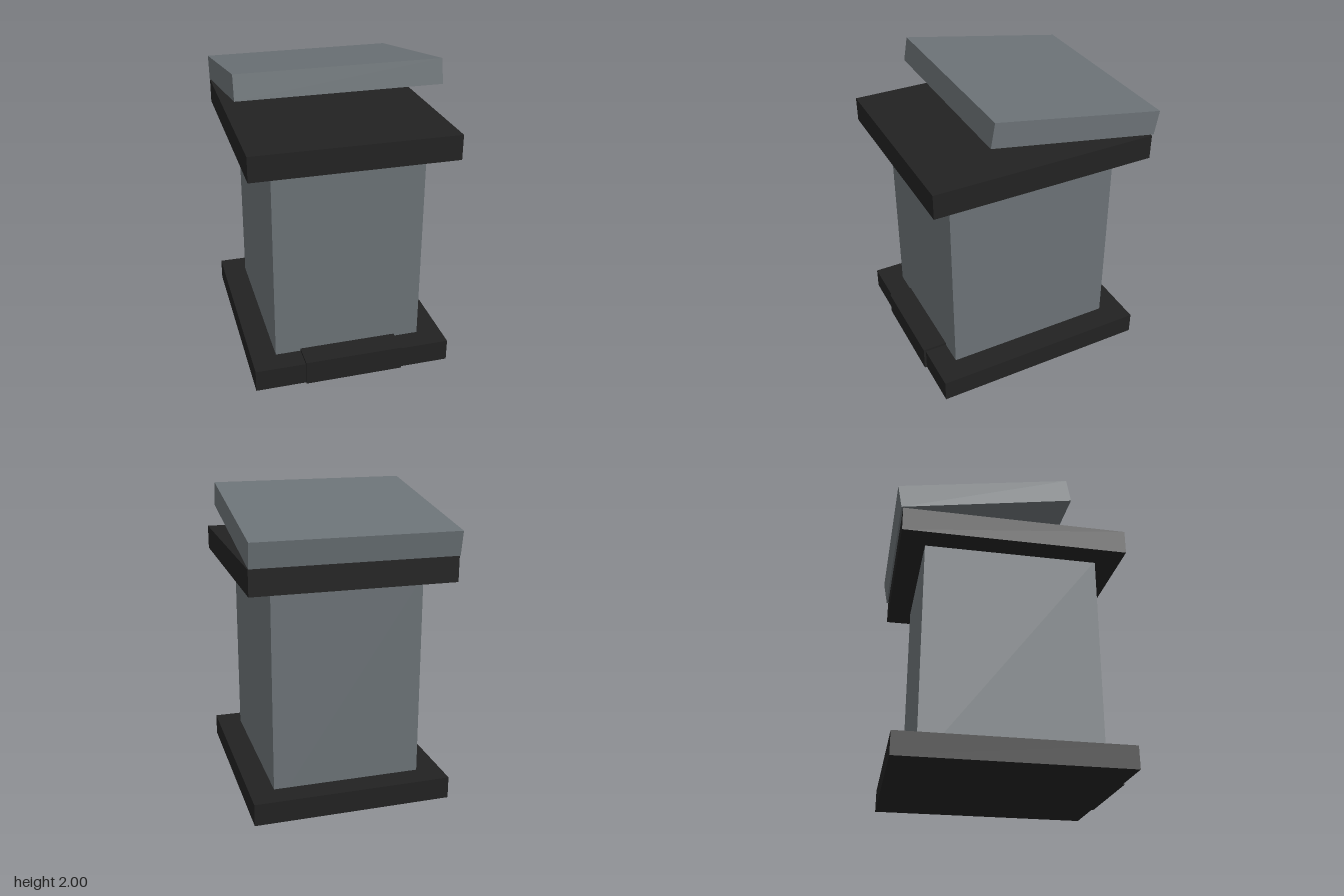
import * as THREE from 'three';

export function createModel() {
  const model = new THREE.Group();
  model.name = 'pedestal';

  const grey = new THREE.MeshStandardMaterial({ color: 0x6b7276 });
  grey.name = 'stone grey';
  const black = new THREE.MeshStandardMaterial({ color: 0x222222 });
  black.name = 'charcoal';

  // Box given by its [min, max] range on each axis
  function slab(name, material, [x0, x1], [y0, y1], [z0, z1]) {
    const mesh = new THREE.Mesh(new THREE.BoxGeometry(x1 - x0, y1 - y0, z1 - z0), material);
    mesh.position.set((x0 + x1) / 2, (y0 + y1) / 2, (z0 + z1) / 2);
    mesh.name = name;
    model.add(mesh);
    return mesh;
  }

  // Foot plate with a raised step at the front
  slab('base', black, [-0.655, 0.655], [0, 0.147], [-0.715, 0.745]);
  slab('frontStep', black, [-0.325, 0.325], [0.001, 0.164], [0.595, 0.76]);

  // Column and the plate on top of it
  slab('column', grey, [-0.492, 0.492], [0.002, 1.49], [-0.552, 0.596]);
  slab('topPlate', black, [-0.655, 0.655], [1.478, 1.64], [-0.715, 0.76]);

  // Slanted lid, raised at the front and resting on the back edge
  const lid = slab('lid', grey, [-0.655, 0.655], [1.743, 1.903], [-0.749, 0.394]);
  lid.rotation.x = THREE.MathUtils.degToRad(-10);

  return model;
}
